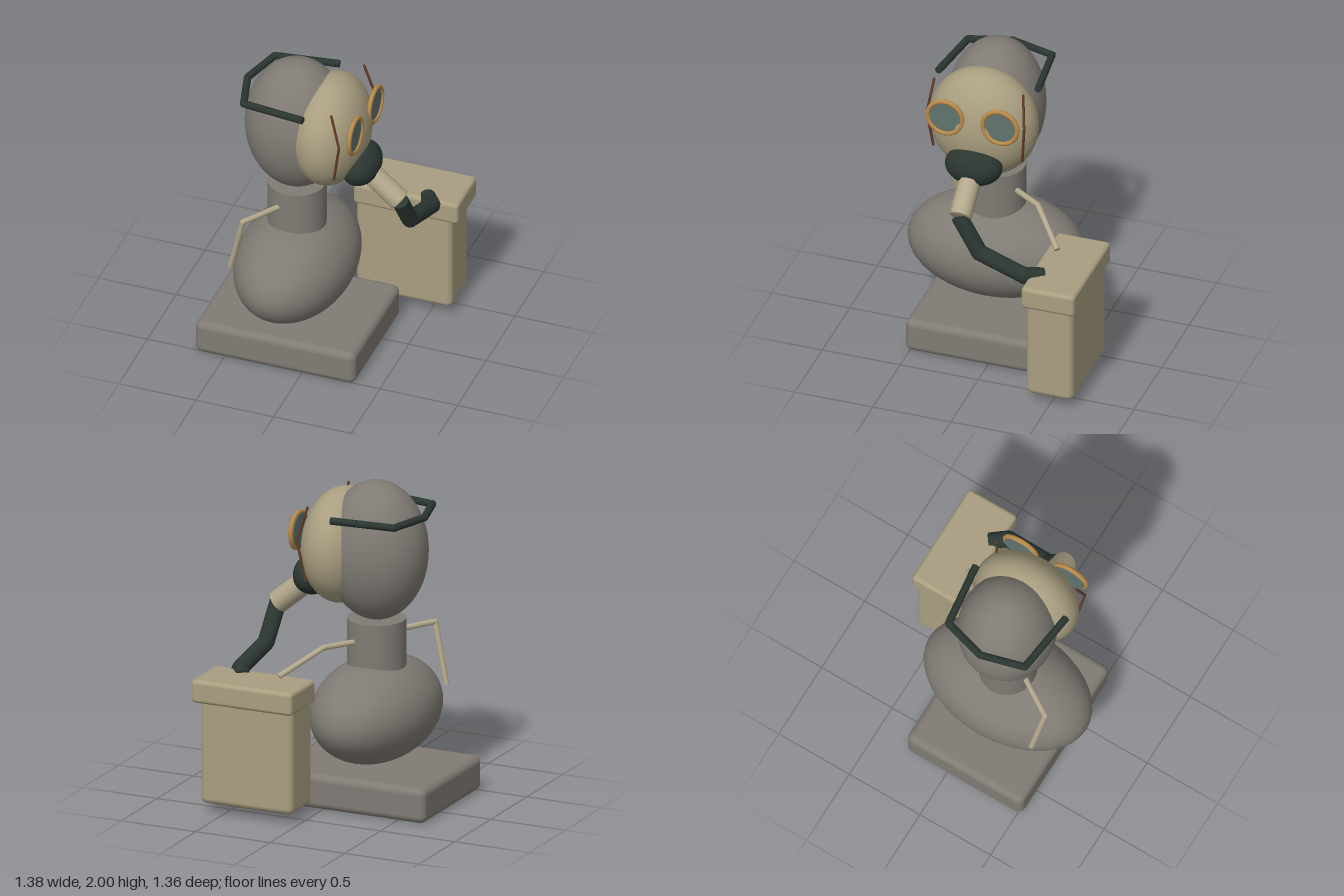
import * as THREE from 'three';
import { RoundedBoxGeometry } from 'three/addons/geometries/RoundedBoxGeometry.js';

const material = (name, color) => {
  const m = new THREE.MeshStandardMaterial({ color });
  m.name = name;
  return m;
};

export function createModel() {
  const root = new THREE.Group();
  root.name = 'maskedBust';

  const gray = material('warmGray', 0x807b74);
  const tan = material('tan', 0xa99e80);
  const cream = material('cream', 0xb3a88c);
  const dark = material('darkGreen', 0x2b3631);
  const gold = material('brass', 0xb98a48);
  const glass = material('lensGlass', 0x60736e);
  const brown = material('brown', 0x643c28);

  const MID = 0.12; // z of the figure's symmetry plane
  const V = (x, y, z) => new THREE.Vector3(x, y, z);

  const add = (name, geometry, mat, x = 0, y = 0, z = 0, parent = root) => {
    const mesh = new THREE.Mesh(geometry, mat);
    mesh.name = name;
    mesh.position.set(x, y, z);
    parent.add(mesh);
    return mesh;
  };

  const ellipsoid = (name, mat, x, y, z, rx, ry, rz) =>
    add(name, new THREE.SphereGeometry(1, 40, 28).scale(rx, ry, rz), mat, x, y, z);

  // Box given by its minimum and maximum corners
  const box = (name, mat, a, b, radius) =>
    add(name, new RoundedBoxGeometry(b[0] - a[0], b[1] - a[1], b[2] - a[2], 3, radius), mat,
      (a[0] + b[0]) / 2, (a[1] + b[1]) / 2, (a[2] + b[2]) / 2);

  // Bent rod: straight cylinders with rounded joints
  const rod = (name, mat, points, r, sides = 10) => {
    const group = new THREE.Group();
    group.name = name;
    root.add(group);
    for (let i = 0; i < points.length - 1; i++) {
      const a = points[i], b = points[i + 1];
      const dir = b.clone().sub(a);
      const mesh = add(name + 'Segment', new THREE.CylinderGeometry(r, r, dir.length(), sides), mat,
        (a.x + b.x) / 2, (a.y + b.y) / 2, (a.z + b.z) / 2, group);
      mesh.quaternion.setFromUnitVectors(V(0, 1, 0), dir.normalize());
      if (i > 0) add(name + 'Joint', new THREE.SphereGeometry(r, sides, 8), mat, a.x, a.y, a.z, group);
    }
  };

  // Base and body
  box('base', gray, [-0.69, 0, -0.29], [0.345, 0.22, 0.53], 0.045);
  ellipsoid('torso', gray, -0.173, 0.56, MID, 0.36, 0.32, 0.557);
  add('neck', new THREE.CylinderGeometry(0.18, 0.18, 0.37, 32), gray, -0.175, 0.95, MID);
  ellipsoid('head', gray, -0.175, 1.565, MID, 0.32, 0.435, 0.3);

  // Mask and mouthpiece
  ellipsoid('mask', tan, 0.05, 1.57, MID, 0.232, 0.36, 0.342);
  ellipsoid('mouthpiece', dark, 0.24, 1.36, MID, 0.12, 0.127, 0.18);

  // Goggles and the thin rods beside them
  for (const s of [-1, 1]) {
    const z = MID + s * 0.176;
    add('goggleRim', new THREE.TorusGeometry(0.111, 0.0145, 10, 32).rotateY(Math.PI / 2), gold, 0.265, 1.68, z);
    add('lens', new THREE.CylinderGeometry(0.106, 0.106, 0.02, 32).rotateZ(Math.PI / 2), glass, 0.257, 1.68, z);
    rod('maskRod', brown, [
      V(0.15, 1.87, MID + s * 0.285),
      V(0.21, 1.66, MID + s * 0.312),
      V(0.167, 1.4, MID + s * 0.285),
    ], 0.008, 8);
  }

  // Strap round the back of the head
  rod('headStrap', dark, [
    V(-0.02, 1.815, MID - 0.32), V(-0.42, 1.81, MID - 0.27), V(-0.495, 1.81, MID),
    V(-0.42, 1.81, MID + 0.27), V(-0.02, 1.815, MID + 0.32),
  ], 0.023, 8);

  // Ribbed hose from the mouthpiece
  const ribs = 15, from = V(0.28, 1.315, MID), to = V(0.49, 1.14, MID);
  const axis = to.clone().sub(from), length = axis.length();
  const profile = [new THREE.Vector2(0, 0)];
  for (let i = 0; i <= ribs * 2; i++) {
    profile.push(new THREE.Vector2(i % 2 ? 0.073 : 0.061, (i / (ribs * 2)) * length));
  }
  profile.push(new THREE.Vector2(0, length));
  const ribbed = add('ribbedHose', new THREE.LatheGeometry(profile, 20), cream, from.x, from.y, from.z);
  ribbed.quaternion.setFromUnitVectors(V(0, 1, 0), axis.normalize());

  // Smooth hose running to the bin
  rod('hose', dark, [
    V(0.49, 1.14, 0.125), V(0.505, 0.92, -0.01), V(0.535, 0.835, -0.31), V(0.47, 0.815, -0.405),
  ], 0.052, 12);

  // Arms
  rod('leftArm', cream, [V(-0.225, 1.02, 0.265), V(-0.38, 1.025, 0.51), V(-0.475, 0.65, 0.47)], 0.018);
  rod('rightArm', cream, [V(-0.1, 1.01, -0.03), V(0.02, 1.01, -0.215), V(0.225, 0.855, -0.41)], 0.018);

  // Bin with lid
  box('bin', tan, [0.025, 0.06, -0.653], [0.643, 0.74, -0.352], 0.04);
  box('binLid', tan, [0.013, 0.7, -0.68], [0.69, 0.845, -0.338], 0.025);

  return root;
}
